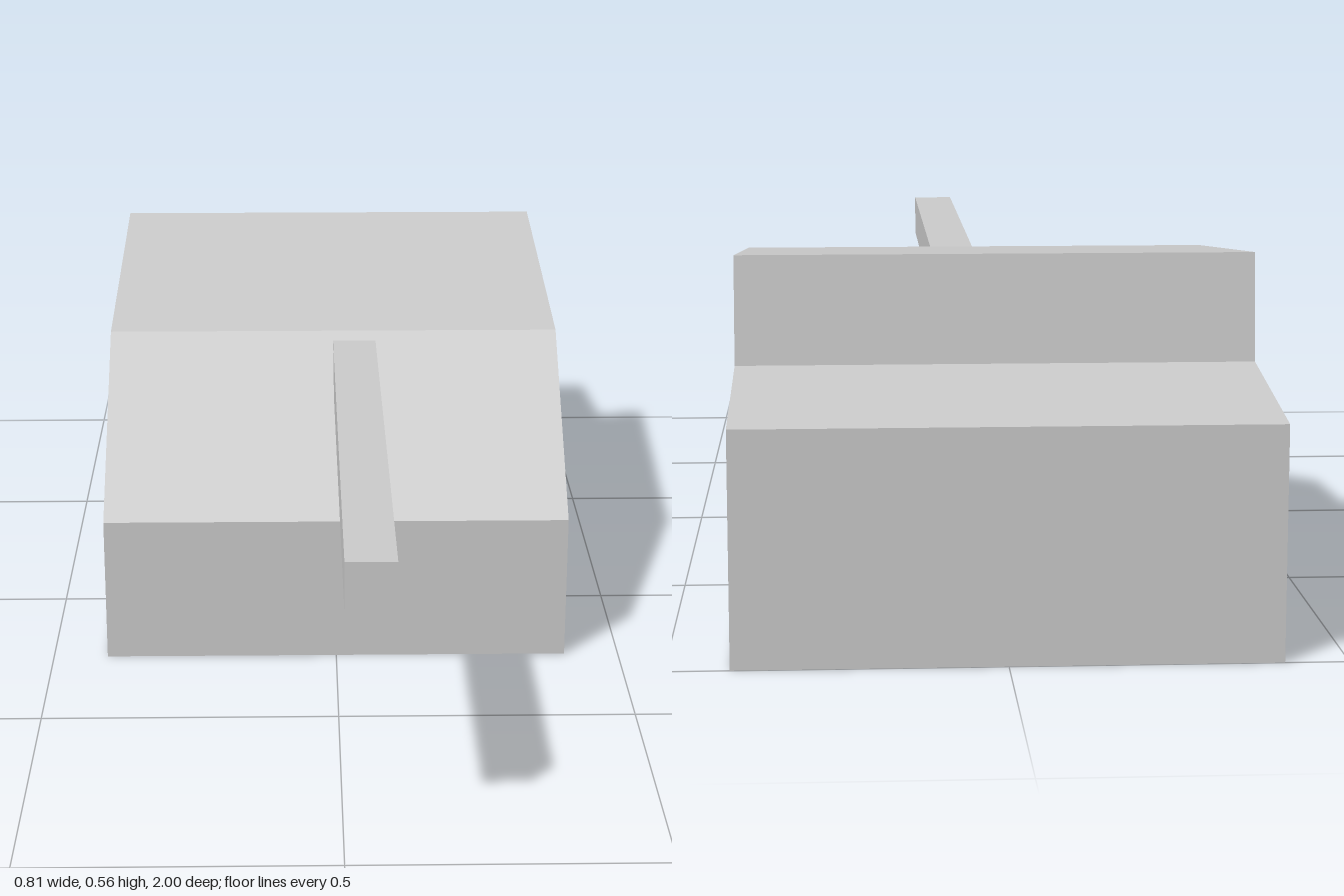
import * as THREE from 'three';

const HALF_WIDTH = 0.405;

export function createModel() {
  const group = new THREE.Group();
  const material = new THREE.MeshStandardMaterial({ color: 0xcccccc, flatShading: true });

  // Hull: side profile as (z, y), extruded across the width
  const profile = [
    [0.255, 0], [0.255, 0.255], [-0.055, 0.505], [-0.668, 0.565],
    [-0.685, 0.395], [-1, 0.355], [-1, 0],
  ].map(([z, y]) => new THREE.Vector2(z, y));
  const hullGeometry = new THREE.ExtrudeGeometry(new THREE.Shape(profile), {
    depth: 2 * HALF_WIDTH,
    bevelEnabled: false,
  });
  hullGeometry.translate(0, 0, -HALF_WIDTH).rotateY(-Math.PI / 2);
  const hull = new THREE.Mesh(hullGeometry, material);
  hull.name = 'hull';
  group.add(hull);

  // Barrel: square bar set slightly to the left, rooted in the sloped front
  const back = -0.06, front = 1;
  const barrel = new THREE.Mesh(new THREE.BoxGeometry(0.077, 0.077, front - back), material);
  barrel.name = 'barrel';
  barrel.position.set(0.0375, 0.453, (front + back) / 2);
  group.add(barrel);

  return group;
}
